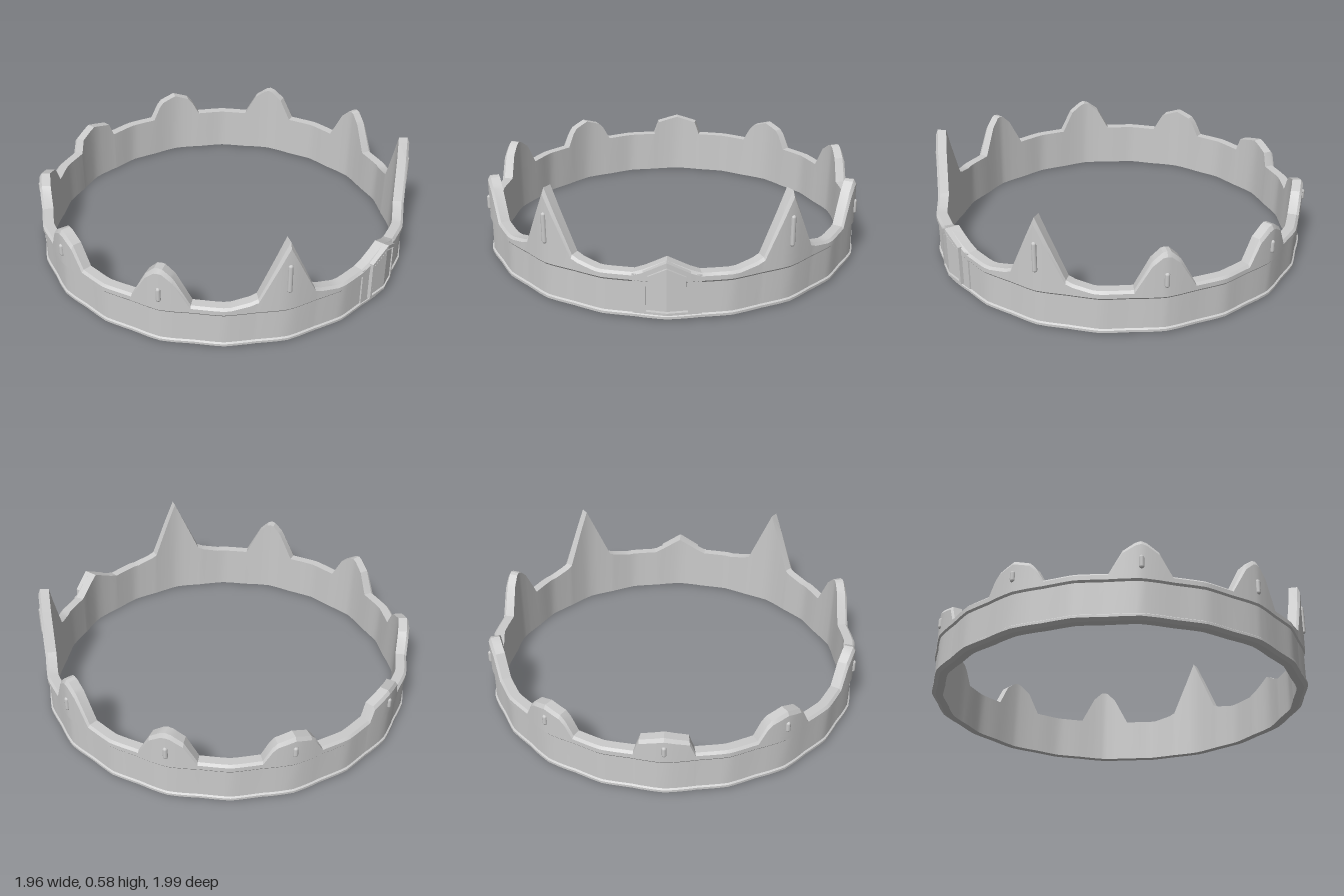
import * as THREE from 'three';
import { toCreasedNormals } from 'three/addons/utils/BufferGeometryUtils.js';

const DEG = Math.PI / 180;
const VALLEY = 0.235;

// Half outlines of the peaks, front to back, 36 degrees apart: [degrees from the tip, height]
const PEAKS = [
  [[0, 0.31], [6.5, 0.255], [9.5, VALLEY]],
  [[0, 0.58], [8.4, 0.27], [10.5, 0.255], [16, VALLEY]],
  [[0, 0.435], [1.2, 0.43], [4, 0.385], [8.8, VALLEY]],
  [[0, 0.4], [1.5, 0.392], [5, 0.35], [8.8, VALLEY]],
  [[0, 0.365], [5, 0.337], [6.5, 0.31], [9, VALLEY]],
  [[0, 0.34], [7, 0.31], [8.7, VALLEY]],
];
// Outer radius: a ridge under every peak, slightly hollow beside it
const RADIUS = [[0, 0.982], [9, 0.968], [14, 0.972], [18, 0.978]];
// Studs on the peaks: [bottom, top]
const STUDS = [null, [0.3, 0.46], [0.25, 0.33], [0.25, 0.32], [0.25, 0.31], [0.235, 0.295]];

function lerpTable(table, a) {
  for (let i = 1; i < table.length; i++) {
    const [a0, v0] = table[i - 1], [a1, v1] = table[i];
    if (a <= a1) return v0 + (v1 - v0) * (a - a0) / (a1 - a0);
  }
  return table[table.length - 1][1];
}

// Closed cross-section of the band, from inner bottom round the outside to inner top
function section(r, top) {
  const inner = r - 0.058;
  const bevel = 0.012 + 0.06 * (top - VALLEY);
  return [
    [inner, 0], [r - 0.02, 0], [r, 0.012], [r, 0.024], [r - 0.008, 0.03],
    [r - 0.008, 0.19], [r, 0.2], [r, top - bevel], [r - 0.012, top], [inner, top],
  ];
}

function bandGeometry() {
  const positions = [], index = [];
  let columns = 0, count = 0;
  for (let k = 0; k < 10; k++) {
    const peak = PEAKS[Math.min(k, 10 - k)];
    const half = [...new Set([...peak, ...RADIUS].map(p => p[0]).concat(3, 16))].sort((a, b) => a - b);
    const offsets = [...half.filter(a => a > 0 && a < 18).map(a => -a).reverse(), ...half];
    for (const o of offsets) {
      const a = Math.abs(o), t = (k * 36 + o) * DEG;
      const pts = section(lerpTable(RADIUS, a), lerpTable(peak, a));
      count = pts.length;
      for (const [r, y] of pts) positions.push(r * Math.sin(t), y, r * Math.cos(t));
      columns++;
    }
  }
  for (let i = 0; i < columns; i++) {
    for (let j = 0; j < count; j++) {
      const i2 = (i + 1) % columns, j2 = (j + 1) % count;
      const a = i * count + j, b = i2 * count + j, c = i2 * count + j2, d = i * count + j2;
      index.push(a, b, c, a, c, d);
    }
  }
  const geo = new THREE.BufferGeometry();
  geo.setAttribute('position', new THREE.Float32BufferAttribute(positions, 3));
  geo.setIndex(index);
  return toCreasedNormals(geo, 0.35);
}

// Half of a front panel, extruded and swept back from the centre ridge
function halfPanel(points, side, front) {
  const shape = new THREE.Shape(points.map(([x, y]) => new THREE.Vector2(x * side, y)));
  const geo = new THREE.ExtrudeGeometry(shape, { depth: front - 0.945, bevelEnabled: false });
  geo.translate(0, 0, 0.945);
  const p = geo.attributes.position;
  for (let i = 0; i < p.count; i++) p.setZ(i, p.getZ(i) - 0.18 * Math.abs(p.getX(i)));
  geo.computeVertexNormals();
  return geo;
}

export function createModel() {
  const model = new THREE.Group();
  const material = new THREE.MeshStandardMaterial({ color: 0xcccccc });
  const add = (parent, name, geo) => {
    const mesh = new THREE.Mesh(geo, material);
    mesh.name = name;
    parent.add(mesh);
    return mesh;
  };

  add(model, 'crownBand', bandGeometry());

  // Five-sided front emblem on its backing plate
  const emblem = new THREE.Group();
  emblem.name = 'frontEmblem';
  model.add(emblem);
  for (const side of [1, -1]) {
    add(emblem, 'backingPlate', halfPanel([[0, 0.03], [0.16, 0.03], [0.16, 0.232], [0.1, 0.235], [0, 0.29]], side, 0.983));
    add(emblem, 'emblemFrame', halfPanel([
      [0, 0.04], [0.11, 0.04], [0.11, 0.25], [0, 0.31],
      [0, 0.288], [0.096, 0.238], [0.096, 0.052], [0, 0.052],
    ], side, 1.0));
    add(emblem, 'emblemFace', halfPanel([[0, 0.06], [0.088, 0.06], [0.088, 0.23], [0, 0.276]], side, 0.995));
  }

  // Upright rounded studs on the peaks
  for (let k = 1; k < 10; k++) {
    const [y0, y1] = STUDS[Math.min(k, 10 - k)];
    const radius = 0.013;
    const geo = new THREE.CapsuleGeometry(radius, y1 - y0 - 2 * radius, 3, 8);
    const stud = add(model, 'peakStud', geo);
    const t = k * 36 * DEG;
    stud.position.set(0.98 * Math.sin(t), (y0 + y1) / 2, 0.98 * Math.cos(t));
    stud.rotation.y = t;
  }
  return model;
}
